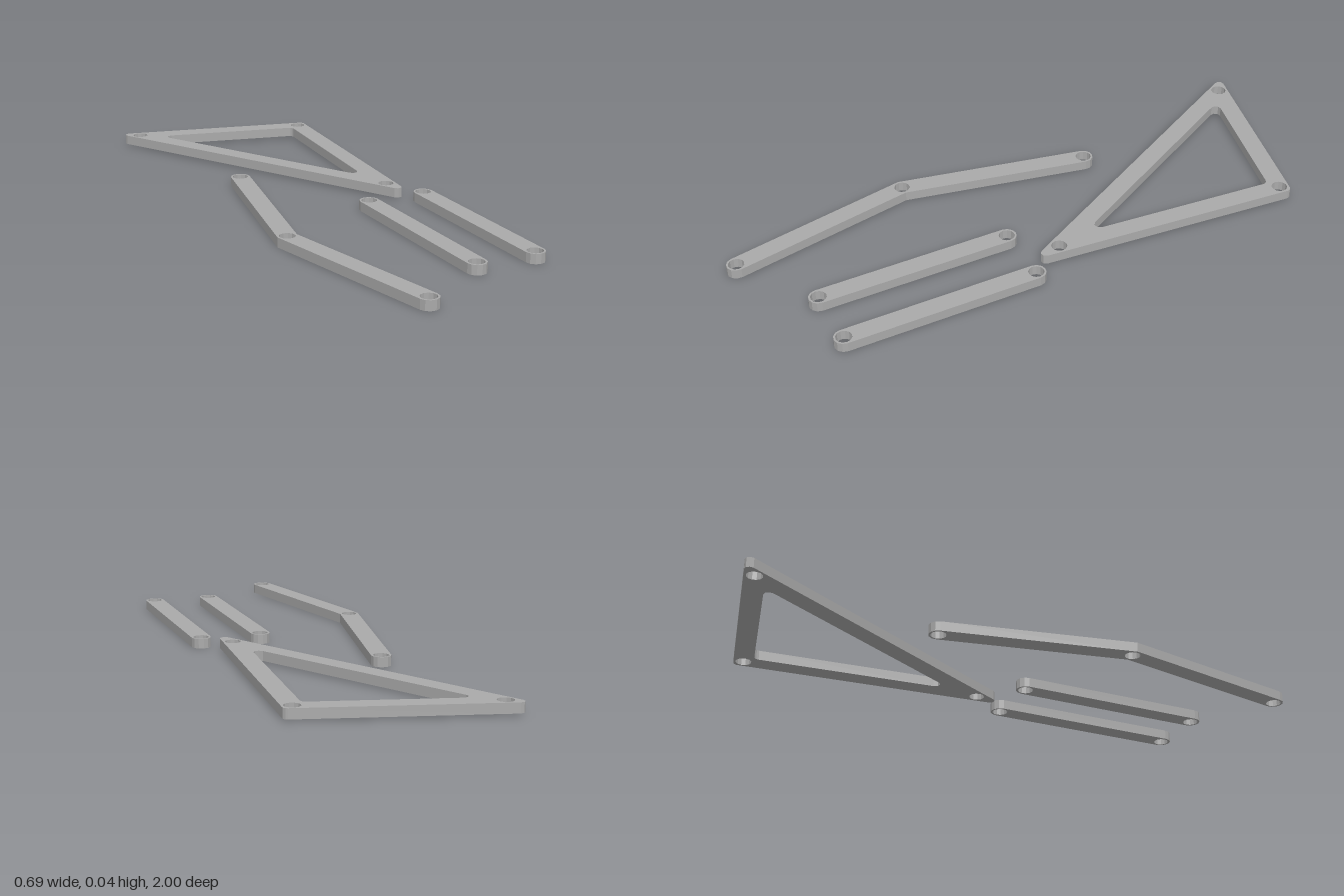
import * as THREE from 'three';

const R = 0.033;      // half width of every bar
const HOLE = 0.0265;  // pin hole radius
const THICK = 0.033;
const V = (x, z) => new THREE.Vector2(x, z);
const polar = (c, r, a) => V(c.x + r * Math.cos(a), c.y + r * Math.sin(a));

function circle(c, r, n = 12) {
  return Array.from({ length: n }, (_, i) => polar(c, r, (i / n) * Math.PI * 2));
}

// Outline of a constant-width bar along a path, with round ends and a mitred bend
function barOutline(path) {
  const out = [];
  const side = (pts) => {
    const n = pts.length;
    for (let i = 1; i < n - 1; i++) {
      const a = pts[i].clone().sub(pts[i - 1]).angle() - Math.PI / 2;
      let turn = pts[i + 1].clone().sub(pts[i]).angle() - Math.PI / 2 - a;
      turn = Math.atan2(Math.sin(turn), Math.cos(turn));
      out.push(polar(pts[i], R / Math.cos(turn / 2), a + turn / 2));
    }
    const end = pts[n - 1].clone().sub(pts[n - 2]).angle() - Math.PI / 2;
    for (let k = 0; k <= 6; k++) out.push(polar(pts[n - 1], R, end + (k / 6) * Math.PI));
  };
  side(path);
  side([...path].reverse());
  return out;
}

// Triangle offset by d (outwards positive), each corner rounded by radius r
function triangleOutline(pts, d, r) {
  const out = [];
  pts.forEach((p, i) => {
    const toPrev = pts[(i + 2) % 3].clone().sub(p).normalize();
    const toNext = pts[(i + 1) % 3].clone().sub(p).normalize();
    const half = Math.acos(toPrev.dot(toNext)) / 2;
    const bis = toPrev.clone().add(toNext).normalize();
    const centre = p.clone().addScaledVector(bis, (r - d) / Math.sin(half));
    const sweep = Math.PI - 2 * half;
    const mid = bis.angle() + Math.PI;
    for (let k = 0; k <= 3; k++) out.push(polar(centre, r, mid + (k / 3 - 0.5) * sweep));
  });
  return out;
}

// Plate lying flat, cut through by the given hole outlines
function plate(name, outline, holes, y, material) {
  const shape = new THREE.Shape(outline);
  shape.holes = holes.map((h) => new THREE.Path(h));
  const geo = new THREE.ExtrudeGeometry(shape, { depth: THICK, bevelEnabled: false });
  geo.rotateX(Math.PI / 2);
  geo.translate(0, y + THICK, 0);
  const mesh = new THREE.Mesh(geo, material);
  mesh.name = name;
  return mesh;
}

export function createModel() {
  const group = new THREE.Group();
  group.name = 'linkageParts';
  const grey = new THREE.MeshStandardMaterial({ color: 0xaaaaaa, flatShading: true });
  grey.name = 'plain grey';

  // Two straight links and one bent link, with a hole at each joint
  const links = {
    innerStraightLink: [V(0.1, 0.127), V(0.1, 0.79)],
    outerStraightLink: [V(0.309, 0.127), V(0.309, 0.79)],
    bentLink: [V(-0.171, -0.313), V(-0.3, 0.326), V(-0.171, 0.966)],
  };
  for (const [name, path] of Object.entries(links)) {
    group.add(plate(name, barOutline(path), path.map((p) => circle(p, HOLE)), 0, grey));
  }

  // Open triangular frame, raised slightly
  const corners = [V(-0.296, -0.96), V(0.301, -0.818), V(0.234, 0.003)];
  const holes = corners.map((p) => circle(p, HOLE));
  holes.push(triangleOutline(corners, -R, 0.018));
  group.add(plate('triangleFrame', triangleOutline(corners, R, 0.0165), holes, 0.006, grey));
  return group;
}
